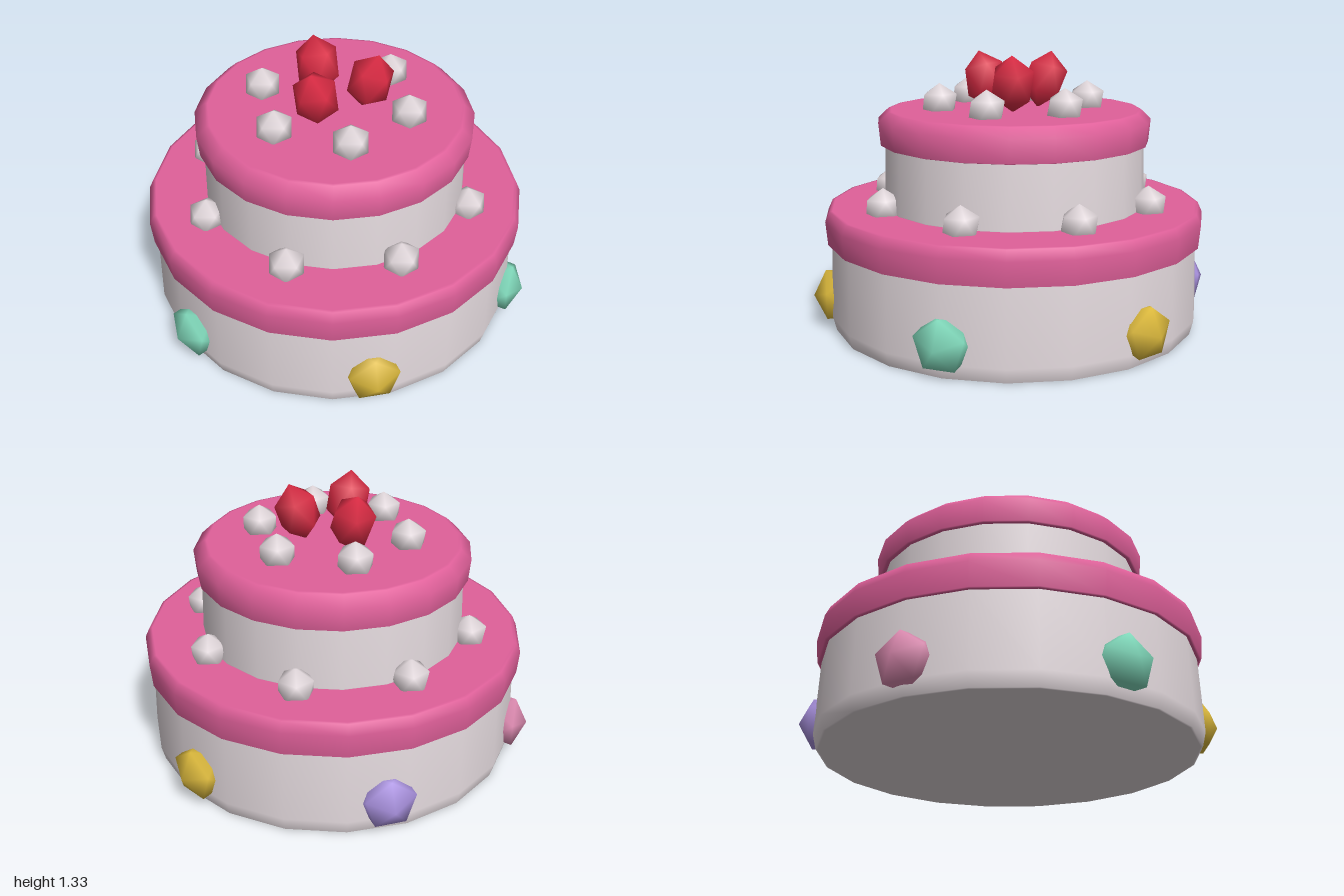
import * as THREE from 'three';
import { mergeVertices } from 'three/addons/utils/BufferGeometryUtils.js';

const paint = (name, color) => {
  const m = new THREE.MeshStandardMaterial({ color });
  m.name = name;
  return m;
};

// Smooth-shaded 20-sided ball with one corner pointing up
function pointedBall() {
  let g = new THREE.IcosahedronGeometry(1, 0);
  g.deleteAttribute('normal');
  g.deleteAttribute('uv');
  g = mergeVertices(g, 1e-4);
  g.rotateX(-Math.atan((1 + Math.sqrt(5)) / 2));
  g.rotateY(-Math.PI / 2);
  g.computeVertexNormals();
  return g;
}

export function createModel() {
  const cake = new THREE.Group();
  cake.name = 'tieredCake';

  const cream = paint('cream', 0xe6dce0);
  const pinkIcing = paint('pinkIcing', 0xe0609a);
  const berryRed = paint('berryRed', 0xdb2b44);
  const teal = paint('teal', 0x80d8ba);
  const gold = paint('gold', 0xdcb93c);
  const lilac = paint('lilac', 0xaa92e0);
  const rose = paint('rose', 0xdc8ab0);

  const ball = pointedBall();

  const add = (name, geometry, material, parent = cake) => {
    const mesh = new THREE.Mesh(geometry, material);
    mesh.name = name;
    parent.add(mesh);
    return mesh;
  };

  // Closed 20-sided solid of revolution, profile from bottom to top
  const turned = (name, profile, material) =>
    add(name, new THREE.LatheGeometry(profile.map(([r, y]) => new THREE.Vector2(r, y)), 20), material);

  // Sponge tiers
  turned('lowerTier', [[0, 0], [0.89, 0], [0.9, 0.002], [0.917, 0.07], [0.906, 0.44], [0.9, 0.5], [0, 0.5]], cream);
  turned('upperTier', [[0, 0.58], [0.64, 0.58], [0.645, 0.6], [0.637, 0.92], [0.63, 0.96], [0, 0.96]], cream);

  // Icing caps with a bevelled top edge and a small lip underneath
  const icing = (name, r, top, bevel, y0, y1) =>
    turned(name, [
      [0, y0], [r - 0.02, y0], [r - 0.01, y0 + 0.003],
      [r, y1 - 0.05], [top + bevel, y1 - 0.002], [top, y1], [0, y1],
    ], pinkIcing);
  icing('lowerIcing', 0.936, 0.9, 0.014, 0.43, 0.597);
  icing('upperIcing', 0.67, 0.605, 0.014, 0.9, 1.062);

  // Rings of cream dollops
  const dollopRing = (name, count, radius, y) => {
    const ring = new THREE.Group();
    ring.name = name;
    for (let i = 0; i < count; i++) {
      const a = (i / count) * Math.PI * 2;
      const d = add('creamDollop', ball, cream, ring);
      d.position.set(Math.cos(a) * radius, y, Math.sin(a) * radius);
      d.scale.setScalar(0.093);
    }
    cake.add(ring);
  };
  dollopRing('lowerDollops', 8, 0.68, 0.627);
  dollopRing('upperDollops', 6, 0.366, 1.097);

  // Sugar gems round the lower tier, starting at the left and going to the front
  [teal, gold, teal, rose, lilac, gold].forEach((material, i) => {
    const spoke = new THREE.Group();
    spoke.name = 'sugarGem';
    spoke.rotation.y = (-i * Math.PI) / 3;
    const gem = add('gemBody', ball, material, spoke);
    gem.position.set(0.89, 0.155, 0);
    gem.rotation.z = -Math.PI / 2;
    gem.scale.set(0.14, 0.11, 0.14);
    cake.add(spoke);
  });

  // Berries on top, each leaning outward
  const up = new THREE.Vector3(0, 1, 0);
  [[-0.125, -0.115], [0.16, -0.05], [-0.035, 0.165]].forEach(([x, z]) => {
    const berry = add('berry', ball, berryRed);
    berry.position.set(x, 1.195, z);
    berry.scale.set(0.113, 0.143, 0.113);
    const lean = new THREE.Vector3(x, 0, z).setLength(0.28).add(up).normalize();
    berry.quaternion.setFromUnitVectors(up, lean);
  });

  return cake;
}
